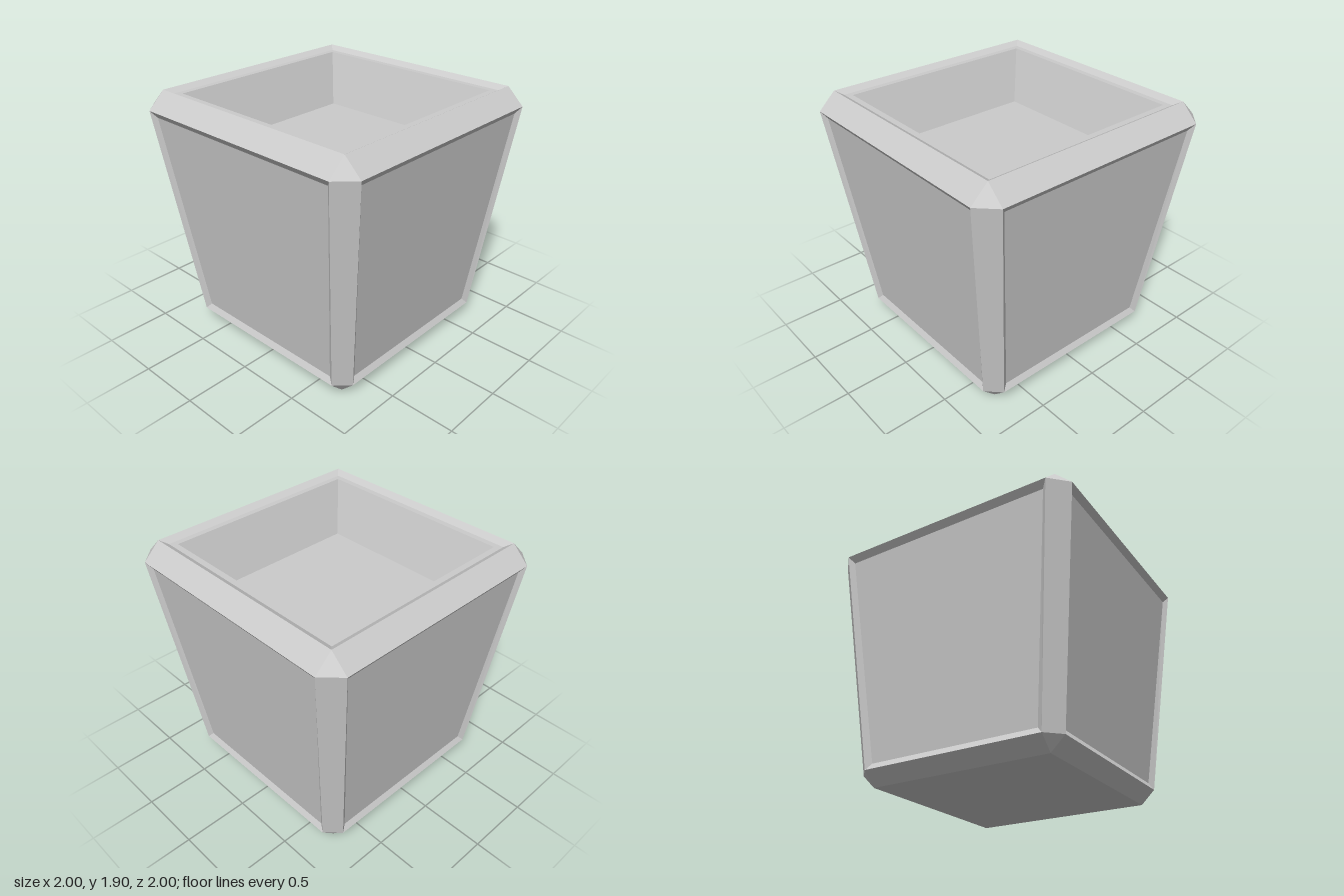
import * as THREE from 'three';

const material = new THREE.MeshStandardMaterial({ color: 0xcccccc, flatShading: true });

// Flat polygons (corners counter-clockwise from outside) to one mesh
function facets(name, polygons) {
  const pos = [];
  for (const p of polygons)
    for (let i = 1; i < p.length - 1; i++) pos.push(...p[0], ...p[i], ...p[i + 1]);
  const geometry = new THREE.BufferGeometry();
  geometry.setAttribute('position', new THREE.Float32BufferAttribute(pos, 3));
  geometry.computeVertexNormals();
  const mesh = new THREE.Mesh(geometry, material);
  mesh.name = name;
  return mesh;
}

// Four corners of a loop on the front side: half-width, height and depth at bottom and top
const loop = (x0, y0, z0, x1, y1, z1) => [[-x0, y0, z0], [x0, y0, z0], [x1, y1, z1], [-x1, y1, z1]];

// Quads joining two four-corner loops
const bridge = (a, b) => a.map((p, i) => [p, a[(i + 1) % 4], b[(i + 1) % 4], b[i]]);

// Horizontal square, facing up
const square = (r, y) => [[-r, y, r], [r, y, r], [r, y, -r], [-r, y, -r]];

export function createModel() {
  const group = new THREE.Group();
  group.name = 'planter';

  // Narrow bottom and wide top of the tapered body
  const bot = { in: 0.695, out: 0.8, y: 0.1 };
  const top = { in: 0.87, out: 1.0, y: 1.78, rim: 1.905 };
  const ledgeY = top.rim - 0.03, floorY = 1.485;

  for (let i = 0; i < 4; i++) {
    const side = new THREE.Group();
    side.name = 'side' + (i + 1);
    side.rotation.y = i * Math.PI / 2;

    // Recessed panel with a sloped border
    const edge = loop(bot.in, bot.y, bot.out, top.in, top.y, top.out);
    const inset = loop(0.655, 0.145, 0.775, 0.83, 1.73, 0.964);
    side.add(facets('panelBorder', bridge(edge, inset)));
    side.add(facets('panel', [inset]));

    // Bevelled edges above and below the panel
    side.add(facets('topBevel', [loop(top.in, top.y, top.out, top.in, top.rim, top.in)]));
    side.add(facets('bottomBevel', [loop(bot.in, 0, bot.in, bot.in, bot.y, bot.out)]));

    // Bevelled corner post with its end triangles
    const a = [bot.in, bot.y, bot.out], b = [bot.out, bot.y, bot.in];
    const c = [top.out, top.y, top.in], d = [top.in, top.y, top.out];
    side.add(facets('cornerPost', [
      [a, b, c, d],
      [d, c, [top.in, top.rim, top.in]],
      [b, a, [bot.in, 0, bot.in]],
    ]));
    group.add(side);
  }

  // Rim sloping down to a narrow ledge
  const ledge = square(0.82, ledgeY), opening = square(0.775, ledgeY);
  group.add(facets('rim', bridge(square(top.in, top.rim), ledge)));
  group.add(facets('ledge', bridge(ledge, opening)));

  // Tapered cavity and its floor
  const floor = square(0.635, floorY);
  group.add(facets('cavityWalls', bridge(opening, floor)));
  group.add(facets('cavityFloor', [floor]));

  // Underside
  group.add(facets('base', [square(bot.in, 0).reverse()]));

  return group;
}
